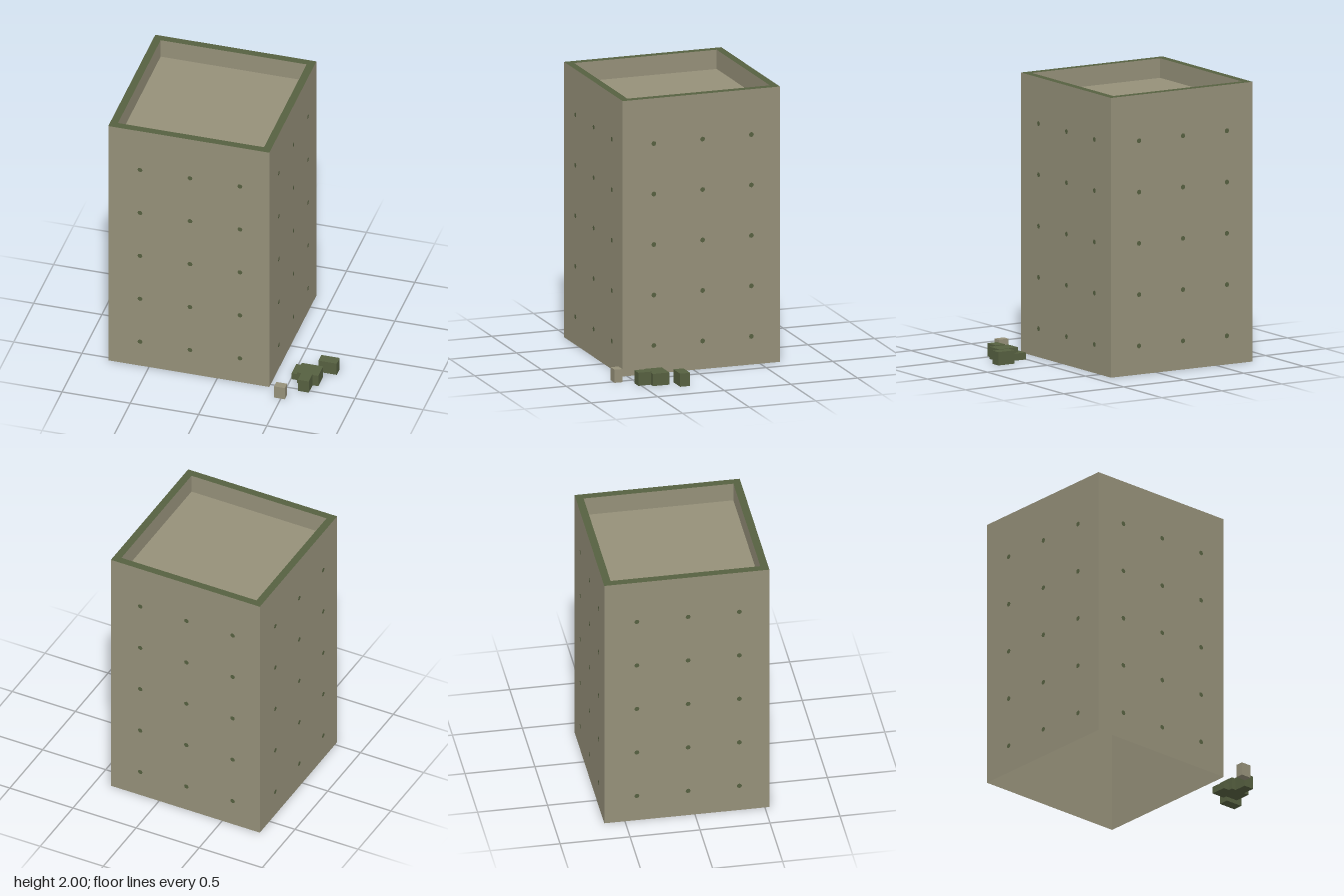
import * as THREE from 'three';

const stone = new THREE.MeshStandardMaterial({ color: 0x959079, side: THREE.DoubleSide });
stone.name = 'weathered stone';
const moss = new THREE.MeshStandardMaterial({ color: 0x566040, side: THREE.DoubleSide });
moss.name = 'moss green';

const SIZE = 1.18, HEIGHT = 2, RIM = 0.055, DEPTH = 0.14;
const CX = -0.208, CZ = -0.058;

function add(parent, name, geometry, material, x = 0, y = 0, z = 0) {
  const mesh = new THREE.Mesh(geometry, material);
  mesh.name = name;
  mesh.position.set(x, y, z);
  parent.add(mesh);
  return mesh;
}

function square(path, half) {
  path.moveTo(-half, -half);
  path.lineTo(half, -half);
  path.lineTo(half, half);
  path.lineTo(-half, half);
  path.closePath();
  return path;
}

export function createModel() {
  const model = new THREE.Group();
  model.name = 'ruinedTower';
  const tower = new THREE.Group();
  tower.name = 'tower';
  tower.position.set(CX, 0, CZ);
  model.add(tower);

  const inner = SIZE - 2 * RIM;

  // Four sides: outer wall, parapet inside and a grid of moss spots
  for (let i = 0; i < 4; i++) {
    const side = new THREE.Group();
    side.name = 'side' + (i + 1);
    side.rotation.y = i * Math.PI / 2;
    tower.add(side);
    add(side, 'wall', new THREE.PlaneGeometry(SIZE, HEIGHT), stone, 0, HEIGHT / 2, SIZE / 2);
    add(side, 'parapetInside', new THREE.PlaneGeometry(inner, DEPTH).rotateY(Math.PI), stone,
      0, HEIGHT - DEPTH / 2, inner / 2);
    for (let row = 0; row < 5; row++) {
      for (let col = -1; col <= 1; col++) {
        add(side, 'mossSpot', new THREE.CircleGeometry(0.018, 8), moss,
          col * 0.366 + 0.009, 0.205 + row * 0.3665, SIZE / 2 + 0.002);
      }
    }
  }

  // Mossy rim and sunken roof; the base is open
  const rim = square(new THREE.Shape(), SIZE / 2);
  rim.holes.push(square(new THREE.Path(), inner / 2));
  add(tower, 'rim', new THREE.ShapeGeometry(rim).rotateX(-Math.PI / 2), moss, 0, HEIGHT, 0);
  add(tower, 'roofFloor', new THREE.PlaneGeometry(SIZE - 0.01, SIZE - 0.01).rotateX(-Math.PI / 2), stone,
    0, HEIGHT - DEPTH, 0);

  // Inner lining with a mossy lower edge
  add(tower, 'innerLining', new THREE.BoxGeometry(0.03, 1.12, inner),
    [stone, stone, stone, moss, stone, stone], -SIZE / 2 + 0.02, 1.29, 0);

  // Fallen blocks: x range, height, z range
  const rubble = new THREE.Group();
  rubble.name = 'rubble';
  model.add(rubble);
  const blocks = [
    [0.66, 0.795, 0.095, 0.18, 0.255, moss],
    [0.505, 0.61, 0.05, 0.275, 0.395, moss],
    [0.553, 0.71, 0.088, 0.303, 0.427, moss],
    [0.588, 0.668, 0.095, 0.42, 0.522, moss],
    [0.45, 0.53, 0.095, 0.59, 0.648, stone],
  ];
  blocks.forEach(([x0, x1, h, z0, z1, material]) => {
    add(rubble, 'fallenBlock', new THREE.BoxGeometry(x1 - x0, h, z1 - z0), material,
      (x0 + x1) / 2, h / 2, (z0 + z1) / 2);
  });
  return model;
}
